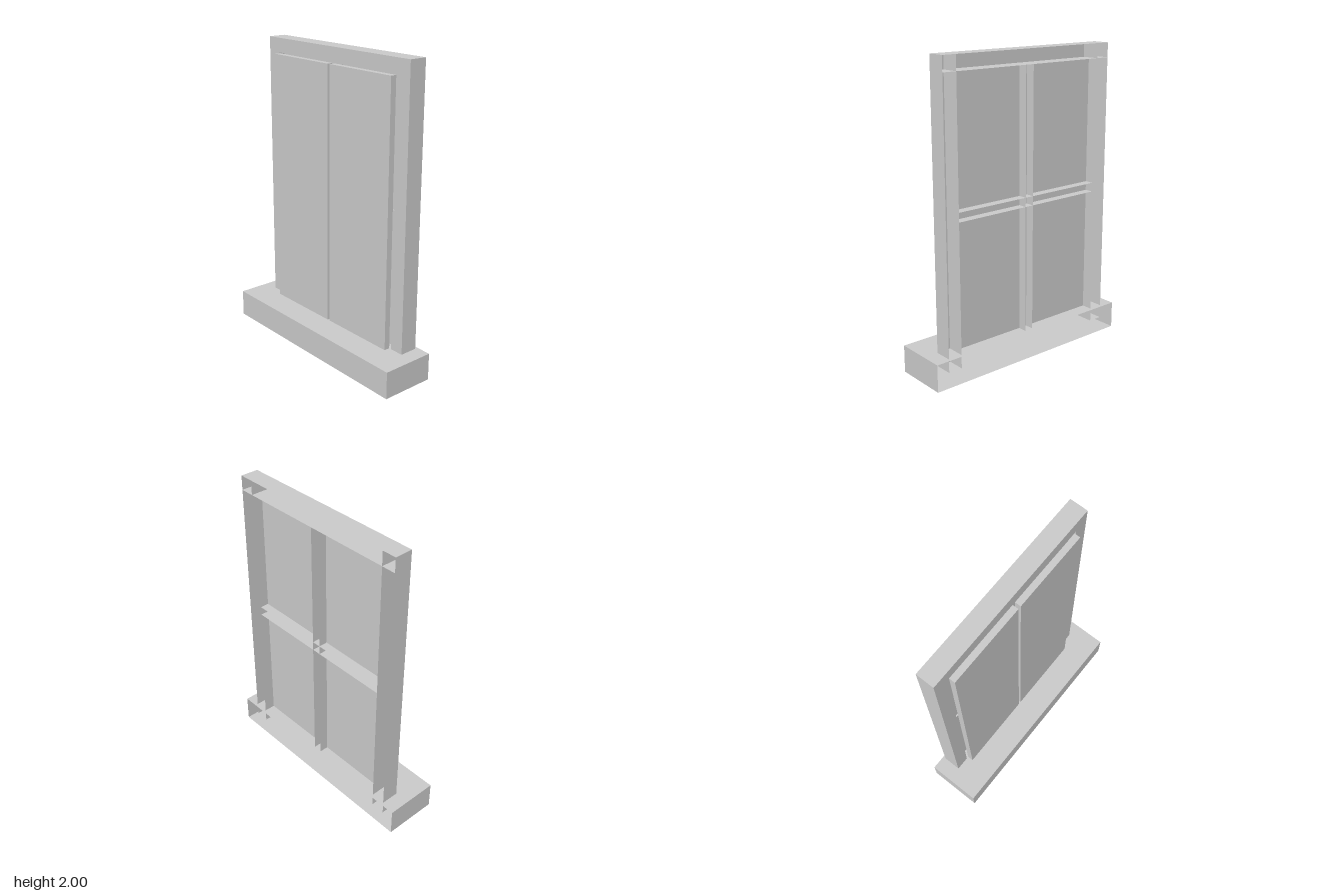
import * as THREE from 'three';

const material = new THREE.MeshStandardMaterial({
  color: 0xcccccc, flatShading: true, side: THREE.DoubleSide,
});

// Box with an open back, given by its limits on each axis
function shell(name, [x0, x1], [y0, y1], [z0, z1]) {
  const geometry = new THREE.BoxGeometry(x1 - x0, y1 - y0, z1 - z0);
  geometry.setIndex(Array.from(geometry.index.array).slice(0, 30)); // drop the -z face
  geometry.clearGroups();
  const mesh = new THREE.Mesh(geometry, material);
  mesh.name = name;
  mesh.position.set((x0 + x1) / 2, (y0 + y1) / 2, (z0 + z1) / 2);
  return mesh;
}

export function createModel() {
  const model = new THREE.Group();
  model.name = 'window';

  const outer = 0.655, inner = 0.56, head = 1.905, sillTop = 0.18;
  const frameZ = [-0.16, -0.04], barZ = [-0.145, -0.075];

  // Sill and top of the frame
  model.add(shell('sill', [-0.755, 0.755], [0, sillTop], [-0.18, 0.18]));
  model.add(shell('frameHead', [-outer, outer], [head, 2], frameZ));

  // Frame sides run down into the sill; shutters stand in front of the frame
  for (const [side, s] of [['left', 1], ['right', -1]]) {
    const span = (a, b) => (s > 0 ? [a, b] : [-b, -a]);
    model.add(shell(side + 'Jamb', span(inner, outer), [0.09, 2], frameZ));
    model.add(shell(side + 'Shutter', span(0.01, 0.545), [sillTop, 1.9], [-0.04, 0]));
  }

  // Glazing bars
  model.add(shell('mullion', [-0.03, 0.03], [sillTop, head], barZ));
  model.add(shell('crossRail', [-inner, inner], [1.02, 1.08], barZ));

  // Glass pane
  const glass = new THREE.Mesh(new THREE.PlaneGeometry(2 * inner, head - sillTop), material);
  glass.name = 'glass';
  glass.position.set(0, (head + sillTop) / 2, -0.085);
  model.add(glass);

  return model;
}
